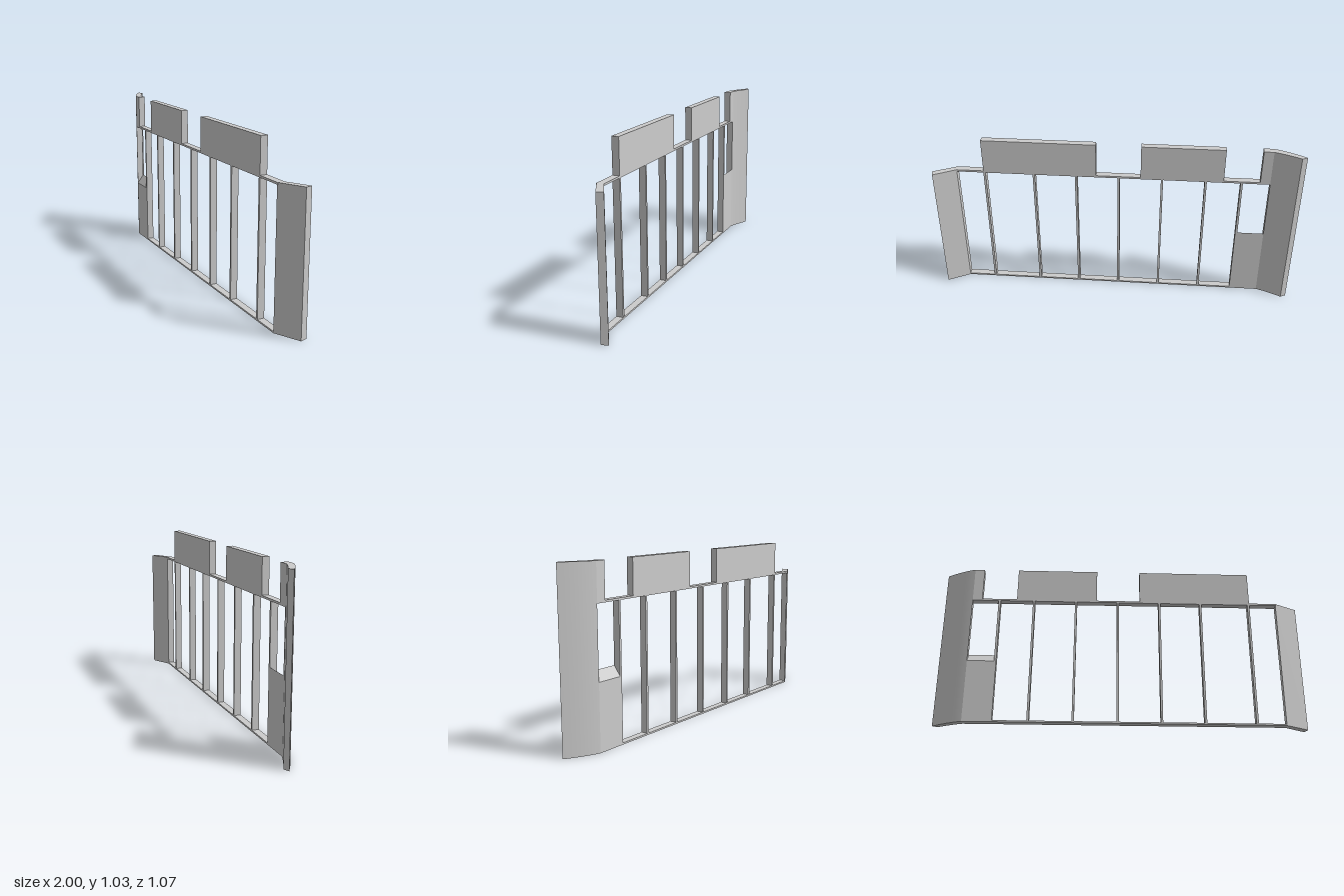
import * as THREE from 'three';
import { toCreasedNormals } from 'three/addons/utils/BufferGeometryUtils.js';

// Plan layout: the main wall runs diagonally, its front face on z = frontZ(x)
const frontZ = (x) => 0.0975 + 0.525 * x;
const DX = 0.02, DZ = -0.038; // step through the wall from front face to back face
const RAIL = 0.815, TOP = 1.03, BEND = -0.878;

const material = new THREE.MeshStandardMaterial({ color: 0xcccccc });

// Upright prism over a plan outline of [x, z] points
function prism(plan, y0, y1) {
  const shape = new THREE.Shape(plan.map(([x, z]) => new THREE.Vector2(x, -z)));
  const geometry = new THREE.ExtrudeGeometry(shape, { depth: y1 - y0, bevelEnabled: false });
  geometry.rotateX(-Math.PI / 2).translate(0, y0, 0);
  return toCreasedNormals(geometry, 0.5);
}

// Straight stretch of the diagonal wall between two front-face x positions
function stretch(x0, x1, y0, y1) {
  return prism([
    [x0, frontZ(x0)], [x1, frontZ(x1)],
    [x1 + DX, frontZ(x1) + DZ], [x0 + DX, frontZ(x0) + DZ],
  ], y0, y1);
}

// Points of one gently curved side of the end wall
function curve(ax, az, bx, bz, cx, cz) {
  const c = new THREE.QuadraticBezierCurve(
    new THREE.Vector2(ax, az), new THREE.Vector2(bx, bz), new THREE.Vector2(cx, cz));
  return c.getPoints(8).map((p) => [p.x, p.y]);
}

export function createModel() {
  const model = new THREE.Group();
  model.name = 'shopfrontWall';
  const add = (name, geometry) => {
    const mesh = new THREE.Mesh(geometry, material);
    mesh.name = name;
    model.add(mesh);
  };

  // Curved full-height end wall
  const front = curve(-1, -0.533, -0.94, -0.425, BEND, frontZ(BEND));
  const back = curve(BEND + DX, frontZ(BEND) + DZ, -0.905, -0.447, -0.963, -0.533);
  add('curvedEndWall', prism([...front, ...back], 0, TOP));

  // Low wall below the window, with a sill sloping down to the front
  const low = stretch(BEND, -0.734, 0, 0.447);
  const p = low.attributes.position;
  for (let i = 0; i < p.count; i++) {
    const onFront = p.getZ(i) - frontZ(p.getX(i)) > -0.01;
    if (onFront && p.getY(i) > 0.4) p.setY(i, 0.39);
  }
  low.computeVertexNormals();
  add('lowWallWithSill', low);

  // Rails along the foot and head of the glazing
  add('bottomRail', stretch(-0.734, 0.83, 0, 0.01));
  add('topRail', stretch(BEND, 0.83, 0.808, 0.82));

  // Thin mullions
  for (const x of [-0.722, -0.53, -0.295, -0.06, 0.173, 0.405, 0.678]) {
    add('mullion', stretch(x - 0.012, x, 0, RAIL));
  }

  // Raised panels above the top rail
  for (const [x0, x1] of [[BEND, -0.825], [-0.632, -0.185], [0.057, 0.677]]) {
    add('upperPanel', stretch(x0, x1, RAIL, TOP));
  }

  // Short end wall turned to face the front
  add('straightEndWall', prism([
    [0.826, frontZ(0.826)], [0.992, 0.531], [1, 0.489], [0.846, frontZ(0.826) + DZ],
  ], 0, 0.82));

  return model;
}
